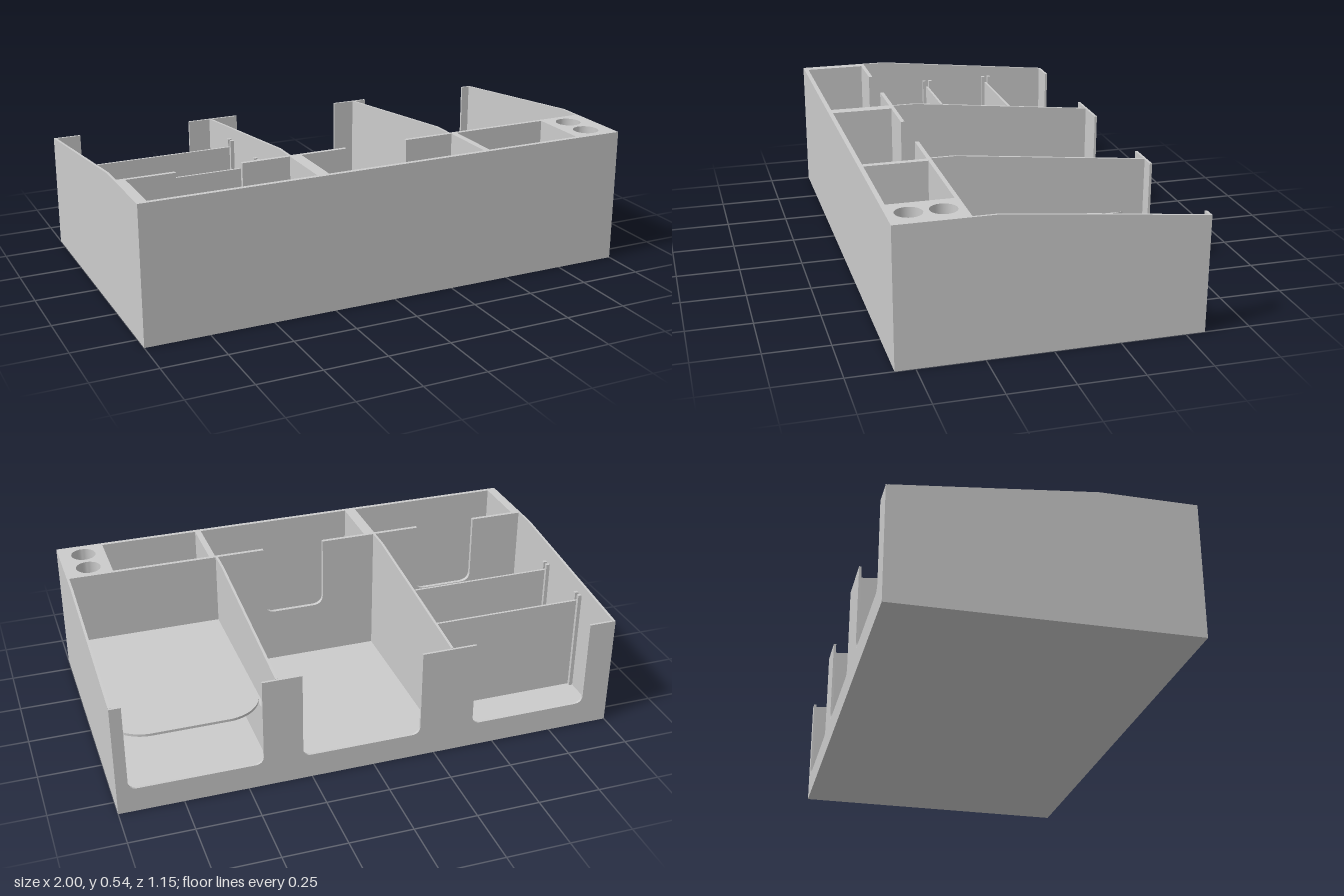
import * as THREE from 'three';
import { toCreasedNormals } from 'three/addons/utils/BufferGeometryUtils.js';

const FLOOR = 0.01, TOP = 0.54, BACK_TOP = 0.457;
const BACK = -0.575, FRONT = 0.575, BEND = 0.2;
const WALL = 0.01, CROSS = 0.295, TRAY = 0.311;

export function createModel() {
  const model = new THREE.Group();
  model.name = 'organizerTray';
  const material = new THREE.MeshStandardMaterial({ color: 0xcccccc });

  const add = (name, geometry) => {
    const mesh = new THREE.Mesh(geometry, material);
    mesh.name = name;
    model.add(mesh);
  };
  const box = (name, x0, x1, y0, y1, z0, z1) => {
    const g = new THREE.BoxGeometry(x1 - x0, y1 - y0, z1 - z0);
    add(name, g.translate((x0 + x1) / 2, (y0 + y1) / 2, (z0 + z1) / 2));
  };
  const extrude = (shape, depth) => toCreasedNormals(
    new THREE.ExtrudeGeometry(shape, { depth, bevelEnabled: false, curveSegments: 16 }), 0.6);
  // plan outline drawn as (x, -z), raised from y0
  const slab = (name, shape, y0, height) =>
    add(name, extrude(shape, height).rotateX(-Math.PI / 2).translate(0, y0, 0));

  // upright wall across the width, with round-cornered notches cut from the top
  const notchedWall = (name, top, z0, z1, notches, bottom, r) => {
    const s = new THREE.Shape();
    s.moveTo(1, FLOOR);
    s.lineTo(1, top);
    for (const [a, b] of [...notches].reverse()) {
      s.lineTo(b, top);
      s.lineTo(b, bottom + r);
      s.quadraticCurveTo(b, bottom, b - r, bottom);
      s.lineTo(a + r, bottom);
      s.quadraticCurveTo(a, bottom, a, bottom + r);
      s.lineTo(a, top);
    }
    s.lineTo(-1, top);
    s.lineTo(-1, FLOOR);
    add(name, extrude(s, z1 - z0).translate(0, 0, z0));
  };

  box('floor', -1, 1, 0, FLOOR, BACK, FRONT);

  notchedWall('backWall', BACK_TOP, BACK, BACK + WALL,
    [[-0.89, -0.41], [-0.19, 0.285], [0.44, 0.955]], 0.1, 0.035);
  notchedWall('crossWall', TOP, CROSS, TRAY,
    [[-0.77, -0.51], [-0.08, 0.18]], 0.24, 0.045);

  // side walls and long dividers share the sloping top
  const profile = new THREE.Shape([
    [BACK + WALL, FLOOR], [CROSS, FLOOR], [CROSS, TOP], [BEND, TOP], [BACK + WALL, BACK_TOP + 0.001],
  ].map(([z, y]) => new THREE.Vector2(z, y)));
  for (const [name, x] of [['rightSideWall', -1], ['rightDivider', -0.317],
    ['leftDivider', 0.376], ['leftSideWall', 0.99]]) {
    add(name, extrude(profile, WALL).rotateY(-Math.PI / 2).translate(x + WALL, 0, 0));
  }

  // front block: three pockets open towards the cross wall, two round holes
  const block = new THREE.Shape();
  block.moveTo(-1, -FRONT);
  block.lineTo(1, -FRONT);
  block.lineTo(1, -TRAY);
  for (const [a, b] of [[0.41, 0.81], [-0.27, 0.385], [-0.96, -0.317]]) {
    block.lineTo(b, -TRAY);
    block.lineTo(b, -0.557);
    block.lineTo(a, -0.557);
    block.lineTo(a, -TRAY);
  }
  block.lineTo(-1, -TRAY);
  block.closePath();
  for (const z of [0.372, 0.494]) {
    const hole = new THREE.Path();
    hole.absarc(0.9, -z, 0.05, 0, Math.PI * 2, true);
    block.holes.push(hole);
  }
  slab('frontPocketBlock', block, FLOOR, TOP - FLOOR);

  // removable cross panels held by pairs of guide rails
  for (const z of [-0.295, -0.007]) {
    box('slidingPanel', -0.988, -0.32, FLOOR, 0.41, z - 0.005, z + 0.005);
    for (const x of [-0.99, -0.332])
      for (const side of [-1, 1]) {
        const c = z + side * 0.014;
        box('guideRail', x, x + 0.015, FLOOR, 0.44, c - 0.007, c + 0.007);
      }
  }

  // shelf with rounded back corners
  const r = 0.15, x0 = 0.39, x1 = 0.983, zb = 0.47;
  const shelf = new THREE.Shape();
  shelf.moveTo(x0, -0.28);
  shelf.lineTo(x1, -0.28);
  shelf.lineTo(x1, zb - r);
  shelf.absarc(x1 - r, zb - r, r, 0, Math.PI / 2, false);
  shelf.lineTo(x0 + r, zb);
  shelf.absarc(x0 + r, zb - r, r, Math.PI / 2, Math.PI, false);
  shelf.closePath();
  slab('shelf', shelf, 0.245, 0.01);

  // tapered ledges carrying the shelf
  for (const [wall, inward] of [[0.386, 1], [0.99, -1]]) {
    const edge = wall + inward * 0.015;
    const ledge = new THREE.Shape([[wall, -0.28], [edge, -0.28], [edge, 0.4], [wall, 0.48]]
      .map(([x, y]) => new THREE.Vector2(x, y)));
    slab('shelfLedge', ledge, 0.232, 0.013);
  }
  return model;
}
